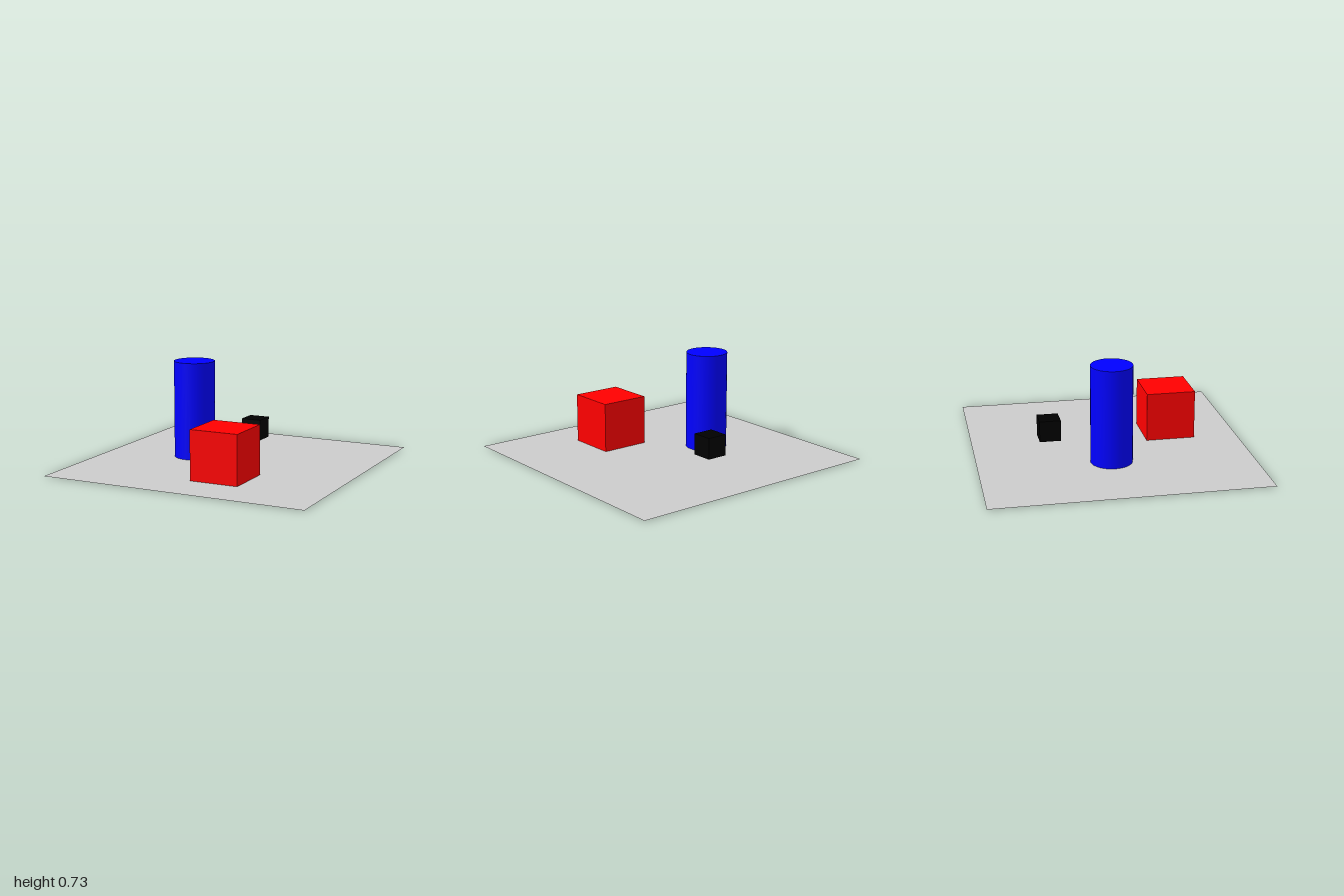
import * as THREE from 'three';

function addPart(group, name, geometry, color, x, y, z, options = {}) {
  const material = new THREE.MeshStandardMaterial({ color, ...options });
  const mesh = new THREE.Mesh(geometry, material);
  mesh.name = name;
  mesh.position.set(x, y, z);
  group.add(mesh);
  return mesh;
}

const cube = (size) => new THREE.BoxGeometry(size, size, size);

export function createModel() {
  const group = new THREE.Group();
  group.name = 'shapesOnFloor';

  // Thin floor sheet, just above the column's foot
  const sheet = new THREE.PlaneGeometry(2, 2).rotateX(-Math.PI / 2);
  addPart(group, 'floor', sheet, 0xcccccc, 0, 0.004, 0, { side: THREE.DoubleSide });

  // Tall round column that pokes slightly through the floor
  const height = 0.733;
  const column = new THREE.CylinderGeometry(0.153, 0.153, height, 32);
  addPart(group, 'column', column, 0x0000ff, -0.336, height / 2, -0.032);

  // Large cube resting on the floor, small cube floating behind
  addPart(group, 'largeCube', cube(0.366), 0xff0000, 0.179, 0.19, 0.486);
  addPart(group, 'smallCube', cube(0.157), 0x000000, -0.024, 0.172, -0.442);

  return group;
}
